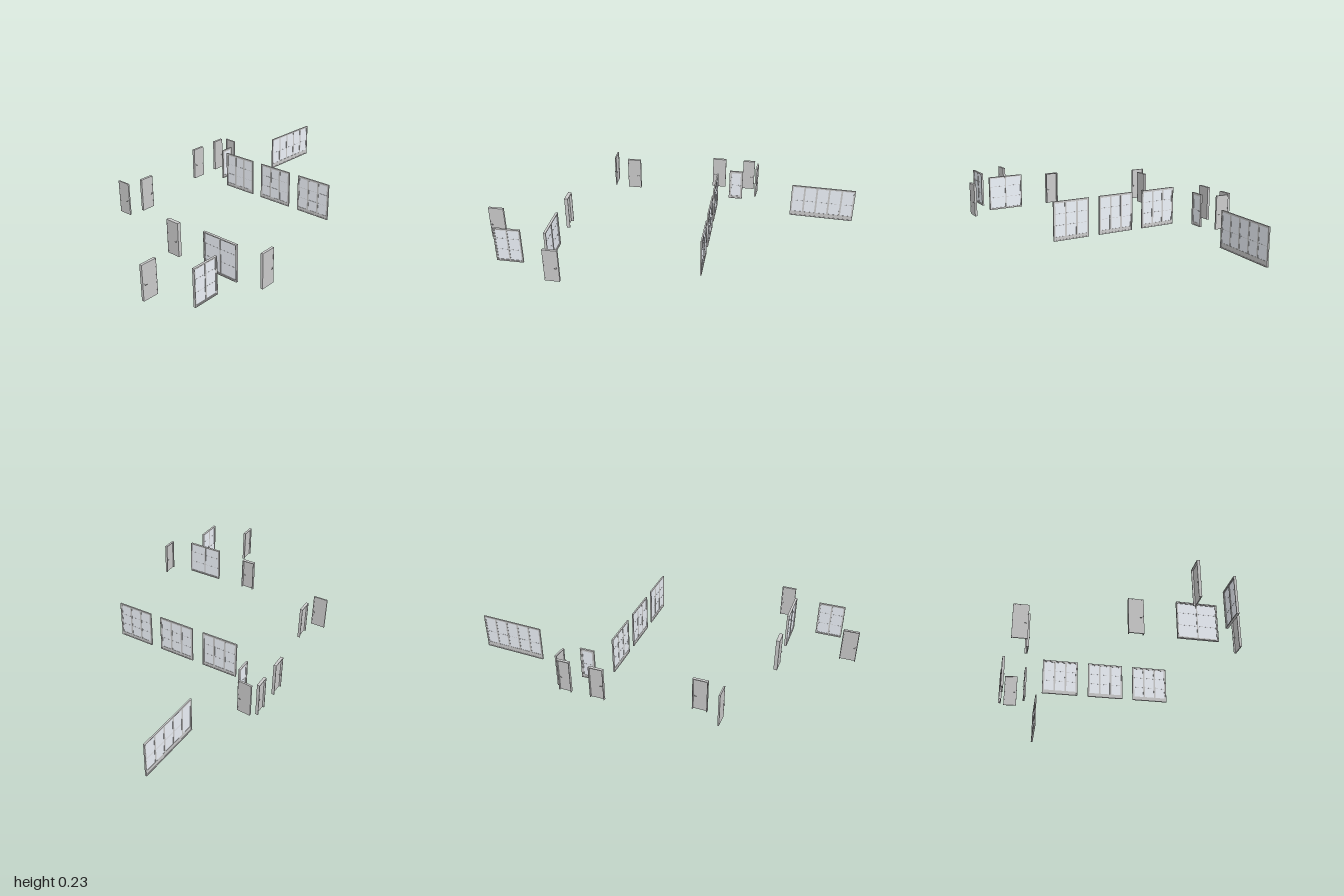
import * as THREE from 'three';

const grey = new THREE.MeshStandardMaterial({ color: 0xcccccc });
const glass = new THREE.MeshStandardMaterial({ color: 0xeef3fa });

function box(parent, name, w, h, d, x, y, z, mat = grey) {
  const m = new THREE.Mesh(new THREE.BoxGeometry(w, h, d), mat);
  m.name = name;
  m.position.set(x, y, z);
  parent.add(m);
}

// Lever handle on one face: rosette, spindle and lever
function lever(parent, x, y, z, dir, toward) {
  box(parent, 'handlePlate', 0.004, 0.008, 0.0015, x, y, z + dir * 0.0007);
  box(parent, 'handleSpindle', 0.002, 0.002, 0.006, x, y, z + dir * 0.003);
  box(parent, 'handleLever', 0.011, 0.002, 0.002, x + toward * 0.0045, y, z + dir * 0.006);
}

// Jambs and head of a frame, with an optional sill
function frame(g, w, h, d, t, sill = 0) {
  for (const s of [-1, 1]) box(g, 'jamb', t, h, d, s * (w - t) / 2, h / 2, 0);
  box(g, 'head', w - 2 * t, t, d, 0, h - t / 2, 0);
  if (sill) box(g, 'sill', w - 2 * t, sill, d, 0, sill / 2, 0);
}

// Hinged door: leaf flush with the front of its frame, recessed at the back
function door(w, h, d, side) {
  const g = new THREE.Group();
  const t = 0.004, leaf = Math.min(0.005, d * 0.6);
  frame(g, w, h, d, t);
  const z = d / 2 - leaf / 2 - 0.0004;
  box(g, 'leaf', w - 2 * t, h - t, leaf, 0, (h - t) / 2, z);
  const hx = side * (w / 2 - 0.011);
  lever(g, hx, 0.083, z + leaf / 2, 1, -side);
  lever(g, hx, 0.083, z - leaf / 2, -1, -side);
  return g;
}

// Glazed unit: frame, equal sashes with stiles and rails, panes and thin bars
function glazed({ w, h, d, count, t = 0.005, stile = 0.005, rail = 0.02, bars = [] }) {
  const g = new THREE.Group();
  frame(g, w, h, d, t, t);
  const sw = (w - 2 * t) / count, sd = d * 0.6;
  for (let i = 0; i < count; i++) {
    const x = (i - (count - 1) / 2) * sw;
    for (const s of [-1, 1]) box(g, 'stile', stile, h - 2 * t, sd, x + s * (sw - stile) / 2, h / 2, 0);
    const pw = sw - 2 * stile, top = h - t - stile, bottom = t + rail;
    box(g, 'topRail', pw, stile, sd, x, top + stile / 2, 0);
    box(g, 'bottomRail', pw, rail, sd, x, t + rail / 2, 0);
    box(g, 'pane', pw, top - bottom, 0.002, x, (top + bottom) / 2, 0, glass);
    for (const y of bars) box(g, 'glazingBar', pw, 0.0015, 0.003, x, y, 0);
  }
  return g;
}

export function createModel() {
  const model = new THREE.Group();
  const place = (name, g, x, y, z, ry = 0) => {
    g.name = name;
    g.position.set(x, y, z);
    g.rotation.y = ry;
    model.add(g);
  };
  const side = Math.PI / 2;

  // Row of three-leaf windows
  for (const x of [-0.235, 0.032, 0.298])
    place('tripleWindow', glazed({ w: 0.205, h: 0.21, d: 0.008, count: 3, t: 0.006, stile: 0.005, rail: 0.016, bars: [0.082, 0.143] }), x, 0.025, -0.2);

  // Five-leaf window, slightly turned
  const long = glazed({ w: 0.363, h: 0.197, d: 0.008, count: 5, t: 0.005, stile: 0.005, rail: 0.023, bars: [0.1] });
  place('longWindow', long, -0.3255, 0, -0.818, side - 0.042);
  box(long, 'threshold', 0.363, 0.003, 0.012, 0, 0.0015, 0);

  // Two-leaf windows
  place('frontWindow', glazed({ w: 0.208, h: 0.2, d: 0.013, count: 2, t: 0.005, stile: 0.003, rail: 0.004, bars: [0.073, 0.14] }), 0.337, 0.025, 0.607);
  place('sideWindow', glazed({ w: 0.147, h: 0.2, d: 0.012, count: 2, t: 0.005, stile: 0.004, rail: 0.004, bars: [0.073, 0.14] }), 0.435, 0.025, 0.815, side);

  // Glazed single door
  const glassDoor = glazed({ w: 0.08, h: 0.183, d: 0.01, count: 1, t: 0.005, stile: 0.008, rail: 0.012, bars: [0.09] });
  lever(glassDoor, 0.031, 0.09, 0.003, 1, -1);
  lever(glassDoor, 0.031, 0.09, -0.003, -1, -1);
  place('glassDoor', glassDoor, -0.43, 0.025, -0.302, side);

  // Doors facing the front: x, z, width, depth, handle side
  for (const [x, z, w, d, s] of [[0.027, 0.608, 0.077, 0.02, 1], [-0.518, 0.456, 0.08, 0.008, 1]])
    place('frontDoor', door(w, 0.188, d, s), x, 0.025, z);

  // Doors facing sideways
  for (const [x, z, w, d, s] of [
    [0.222, 0.957, 0.086, 0.014, -1], [0.566, 0.54, 0.08, 0.013, 1],
    [-0.472, 0.333, 0.08, 0.015, 1], [-0.568, -0.187, 0.08, 0.015, -1],
    [-0.568, -0.369, 0.07, 0.015, 1],
  ]) place('sideDoor', door(w, 0.188, d, s), x, 0.025, z, side);

  // Pair of offset sliding panels
  place('slidingDoor', door(0.075, 0.188, 0.01, -1), -0.506, 0.025, -0.422, Math.PI - 0.08);
  return model;
}
